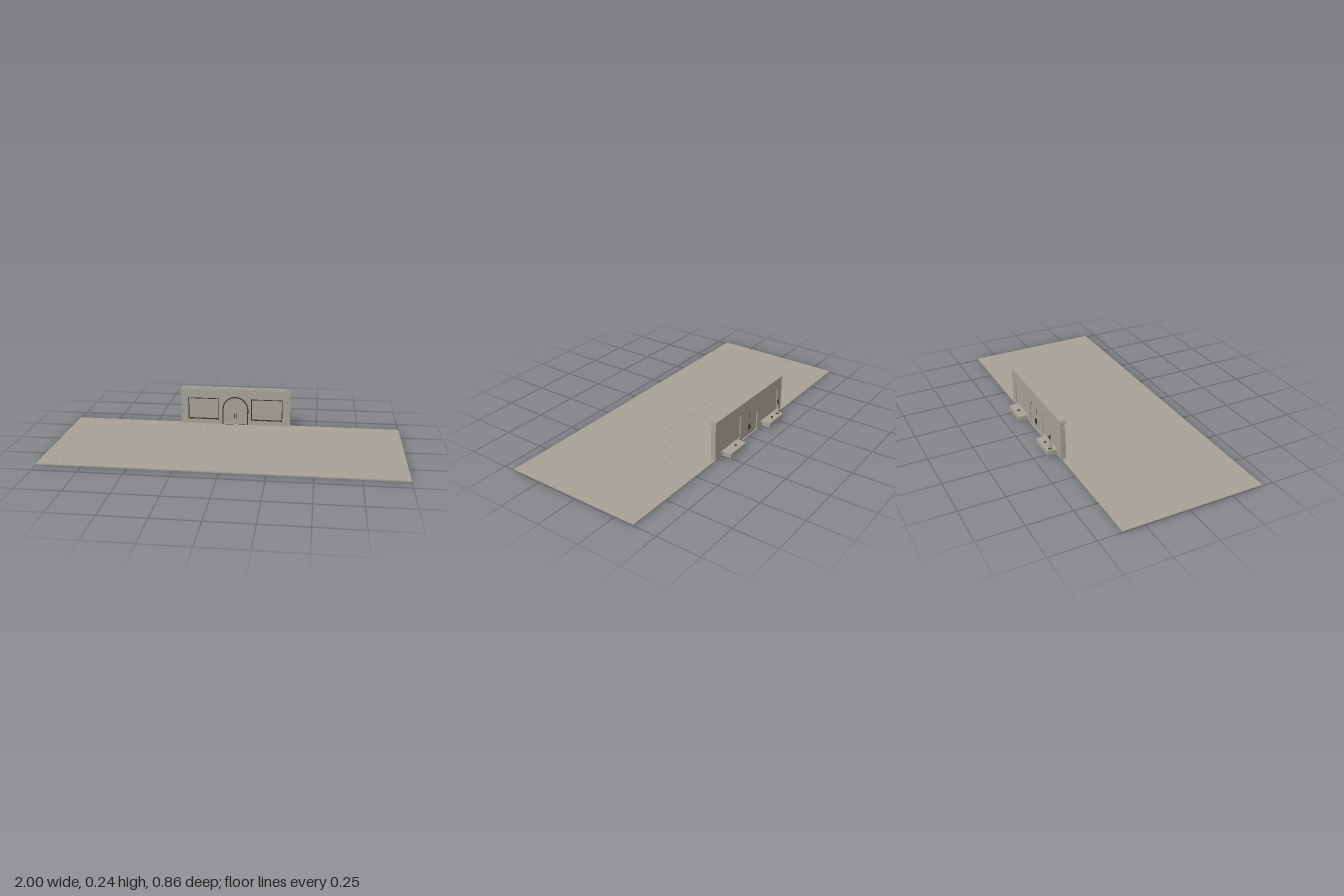
import * as THREE from 'three';

const mat = (name, color) => Object.assign(new THREE.MeshStandardMaterial({ color }), { name });

export function createModel() {
  const model = new THREE.Group();
  const stone = mat('warm grey stone', 0xa6a296);
  const dark = mat('dark brown trim', 0x3a3226);

  const add = (name, geo, material = stone, parent = model) => {
    const m = new THREE.Mesh(geo, material);
    m.name = name;
    parent.add(m);
    return m;
  };
  // Box given by its minimum and maximum corners
  const box = (name, x0, x1, y0, y1, z0, z1, material = stone, parent = model) => {
    const m = add(name, new THREE.BoxGeometry(x1 - x0, y1 - y0, z1 - z0), material, parent);
    m.position.set((x0 + x1) / 2, (y0 + y1) / 2, (z0 + z1) / 2);
    return m;
  };
  const extrude = (name, shape, z0, z1, material = stone) => {
    const g = new THREE.ExtrudeGeometry(shape, { depth: z1 - z0, bevelEnabled: false, curveSegments: 20 });
    g.translate(0, 0, z0);
    return add(name, g, material);
  };
  const rect = (p, x0, x1, y0, y1) => {
    p.moveTo(x0, y0); p.lineTo(x1, y0); p.lineTo(x1, y1); p.lineTo(x0, y1); p.closePath();
    return p;
  };
  const arch = (p, r, y0, spring) => {
    p.moveTo(-r, y0); p.lineTo(r, y0); p.lineTo(r, spring);
    p.absarc(0, spring, r, 0, Math.PI, false); p.closePath();
    return p;
  };
  const BACK = -0.377, FRONT = -0.35, FLOOR = 0.01, R = 0.077, SPRING = 0.108;

  // Floor slab, paving with hairline joints, and the long rail underneath
  box('floorSlab', -1, 1, 0.003, 0.0095, -0.37, 0.43);
  const paving = new THREE.Group();
  paving.name = 'paving';
  model.add(paving);
  const gap = 0.0003;
  for (let i = 0; i < 20; i++) for (let j = 0; j < 8; j++) {
    const x = -1 + i * 0.1, z = -0.37 + j * 0.1;
    // alternate whole slabs with slabs split in two
    const parts = (i + 2 * j) % 3 === 0 ? [[0, 0.05], [0.05, 0.1]] : [[0, 0.1]];
    for (const [a, b] of parts)
      box('paver', x + a + gap, x + b - gap, 0.0095, FLOOR, z + gap, z + 0.1 - gap, stone, paving);
  }
  box('underRail', -0.97, 0.97, 0, 0.003, 0.253, 0.258);

  // Wall with two window openings and an arched doorway
  const wall = rect(new THREE.Shape(), -0.335, 0.335, FLOOR, 0.24);
  const windows = [[-0.295, -0.102], [0.098, 0.291]];
  for (const [a, b] of windows) wall.holes.push(rect(new THREE.Path(), a, b, 0.04, 0.176));
  wall.holes.push(arch(new THREE.Path(), R, FLOOR + 0.001, SPRING));
  extrude('wall', wall, BACK, FRONT);

  // Window panels, frames and ledges
  for (const [a, b] of windows) {
    box('windowPanel', a, b, 0.04, 0.176, -0.371, -0.358);
    const frame = rect(new THREE.Shape(), a, b, 0.04, 0.176);
    frame.holes.push(rect(new THREE.Path(), a + 0.004, b - 0.004, 0.044, 0.172));
    extrude('windowFrame', frame, -0.36, -0.347, dark);
    box('windowLedge', a, b, 0.187, 0.191, FRONT, -0.347);
  }

  // Arched double door with trim and handles on both faces
  extrude('doorLeaves', arch(new THREE.Shape(), R, FLOOR, SPRING), -0.37, -0.356);
  const trim = arch(new THREE.Shape(), R + 0.003, FLOOR, SPRING);
  trim.holes.push(arch(new THREE.Path(), R - 0.003, FLOOR + 0.0005, SPRING));
  extrude('doorTrim', trim, -0.358, -0.346, dark);
  box('doorSeam', -0.001, 0.001, FLOOR, 0.184, -0.3705, -0.3545, dark);
  for (const s of [-1, 1])
    for (const z of [-0.374, -0.353])
      box('doorHandle', s * 0.0055 - 0.002, s * 0.0055 + 0.002, 0.05, 0.08, z - 0.003, z + 0.003, dark);

  // Pilasters and stepped cornice
  for (const s of [-1, 1]) {
    box('endPilaster', s * 0.332 - 0.007, s * 0.332 + 0.007, FLOOR, 0.2, BACK, -0.348);
    box('doorPilaster', s * 0.087 - 0.004, s * 0.087 + 0.004, FLOOR, 0.2, FRONT, -0.348);
  }
  box('lowerCornice', -0.338, 0.338, 0.224, 0.228, BACK, -0.344);
  box('upperCornice', -0.342, 0.342, 0.228, 0.233, BACK, -0.34);
  box('coping', -0.338, 0.338, 0.233, 0.241, BACK, -0.35);

  // Benches behind the wall, each with a small dish
  for (const [a, b, dish] of [[-0.28, -0.13, -0.195], [0.12, 0.27, 0.185]]) {
    box('bench', a, b, 0.014, 0.041, -0.43, BACK);
    const d = add('dish', new THREE.CylinderGeometry(0.013, 0.009, 0.005, 16));
    d.position.set(dish, 0.0435, -0.404);
    const c = add('dishCentre', new THREE.CylinderGeometry(0.007, 0.007, 0.002, 12), dark);
    c.position.set(dish, 0.047, -0.404);
  }

  // Vase with a sprig of twigs
  const plant = new THREE.Group();
  plant.name = 'vaseWithTwigs';
  plant.position.set(-0.258, 0.041, -0.404);
  model.add(plant);
  const profile = [[0, 0], [0.009, 0], [0.01, 0.008], [0.008, 0.022], [0.004, 0.04], [0.003, 0.05], [0.005, 0.057], [0, 0.053]];
  add('vase', new THREE.LatheGeometry(profile.map(([x, y]) => new THREE.Vector2(x, y)), 16), stone, plant);
  add('vaseFoot', new THREE.CylinderGeometry(0.0105, 0.0105, 0.005, 16), dark, plant).position.y = 0.0025;
  for (let i = 0; i < 5; i++) {
    const t = i * 2.4, r = 0.006 + 0.0015 * (i % 3), h = 0.072 + 0.004 * i;
    const x = Math.cos(t) * r, z = Math.sin(t) * r;
    const path = new THREE.QuadraticBezierCurve3(
      new THREE.Vector3(0, 0.05, 0), new THREE.Vector3(x * 0.3, h - 0.01, z * 0.3), new THREE.Vector3(x, h, z));
    add('twig', new THREE.TubeGeometry(path, 6, 0.0006, 5), dark, plant);
    for (const u of [0.65, 1]) {
      const leaf = add('leaf', new THREE.SphereGeometry(0.002, 8, 6), dark, plant);
      leaf.position.copy(path.getPoint(u));
      leaf.scale.set(1, 1.6, 1);
    }
  }
  return model;
}
